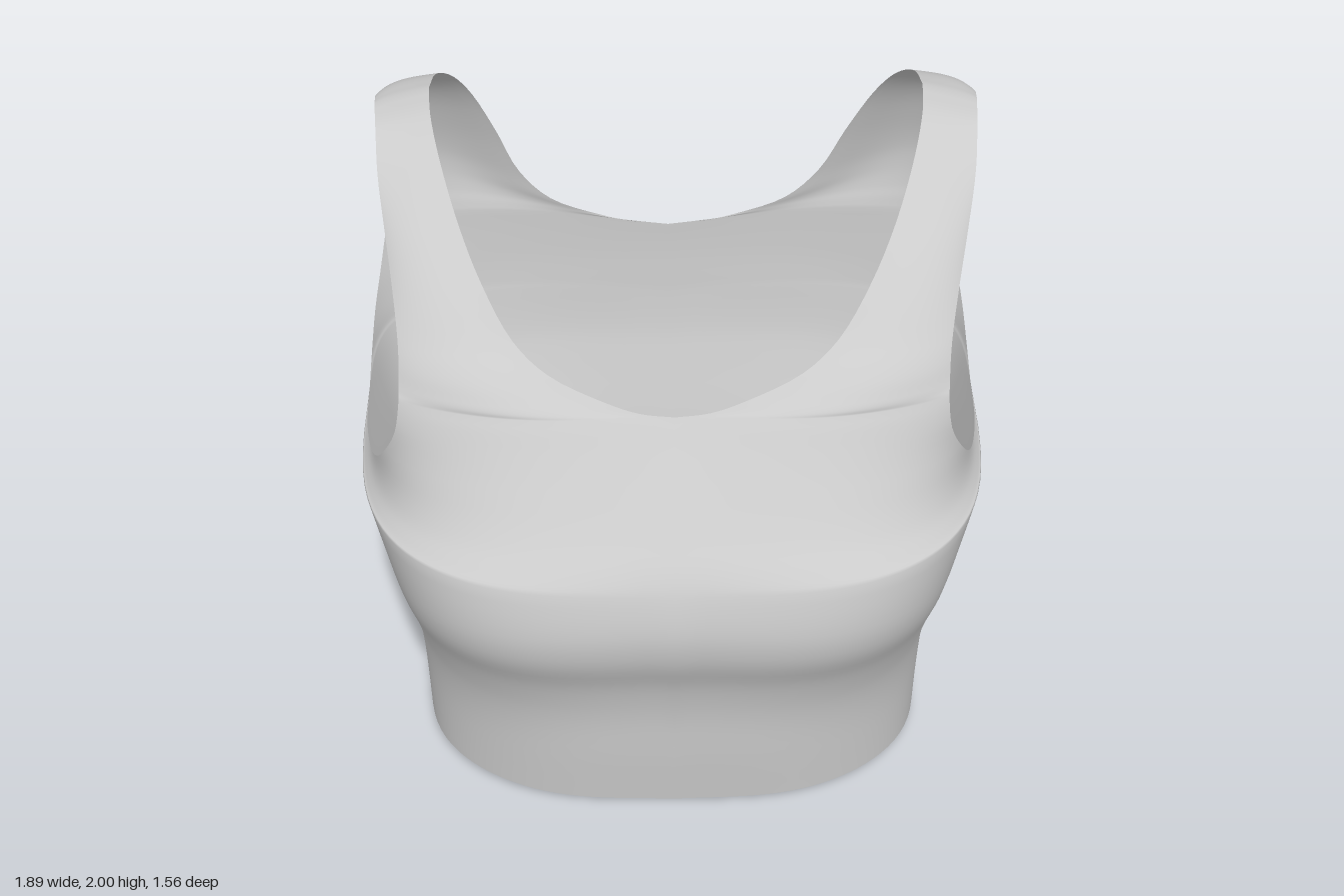
import * as THREE from 'three';
import { mergeVertices } from 'three/addons/utils/BufferGeometryUtils.js';

const COLS = 28, STEPS = 4;
const PIT_Z = -.2;
const { clamp, smoothstep } = THREE.MathUtils;

// Side seam from hem to armpit, shared by front and back
const side = [
  [.78, .04, .1], [.79, .22, .05], [.805, .42, 0], [.83, .56, -.05],
  [.86, .7, -.1], [.89, .82, -.15], [.94, 1.0, PIT_Z],
];

// Each half panel: centre line, then neckline, and the armhole edge on the outside
const front = {
  centre: [
    [0, 0, .62], [0, .2, .642], [0, .4, .66], [0, .55, .695], [0, .7, .755], [0, .82, .77], [0, .95, .745],
    [0, 1.02, .712], [0, 1.1, .655], [0, 1.2, .585], [0, 1.3, .515], [0, 1.38, .46],
  ],
  neckline: [
    [0, 1.38, .46], [.1, 1.39, .455], [.2, 1.418, .437], [.36, 1.48, .39], [.46, 1.55, .325],
    [.55, 1.67, .22], [.62, 1.79, .095], [.68, 1.91, -.07], [.71, 1.98, -.2], [.72, 2, -.32],
  ],
  armhole: [
    [.94, 1.0, PIT_Z], [.93, 1.01, 0], [.895, 1.06, .2], [.85, 1.16, .335], [.8, 1.28, .39], [.785, 1.38, .375],
    [.785, 1.4, .362], [.785, 1.42, .35], [.785, 1.47, .322], [.79, 1.53, .275], [.81, 1.64, .17],
    [.835, 1.75, .055], [.86, 1.86, -.075], [.87, 1.94, -.19], [.88, 1.96, -.3],
  ],
};
const back = {
  centre: [
    [0, .015, -.57], [0, .2, -.6], [0, .4, -.64], [0, .55, -.675], [0, .7, -.715], [0, .82, -.745], [0, .95, -.763],
    [0, 1.02, -.768], [0, 1.1, -.773], [0, 1.17, -.775], [0, 1.22, -.775],
  ],
  neckline: [
    [0, 1.22, -.775], [.1, 1.228, -.777], [.22, 1.255, -.78], [.38, 1.32, -.778], [.48, 1.43, -.767],
    [.55, 1.6, -.73], [.62, 1.77, -.67], [.67, 1.88, -.59], [.71, 1.97, -.45], [.72, 2, -.32],
  ],
  armhole: [
    [.94, 1.0, PIT_Z], [.945, 1.02, -.36], [.94, 1.09, -.5], [.92, 1.2, -.6], [.9, 1.32, -.65],
    [.893, 1.37, -.657], [.89, 1.42, -.66], [.885, 1.5, -.655], [.885, 1.58, -.64], [.885, 1.68, -.61],
    [.89, 1.79, -.54], [.89, 1.87, -.47], [.885, 1.94, -.38], [.88, 1.96, -.3],
  ],
};

// Two smooth curves meeting at a corner, sampled by key number
function chain(first, second) {
  const [a, b] = [first, second].map(l => new THREE.CatmullRomCurve3(l.map(p => new THREE.Vector3(...p))));
  const n = first.length - 1, m = second.length - 1;
  return k => (k <= n ? a.getPoint(k / n) : b.getPoint((k - n) / m));
}

// Row across a panel: part of a rounded-square section, cut off at the armhole
function crossRow(a, b, inYoke) {
  const power = 2.7 + .9 * smoothstep(a.y, .2, .8);
  const q = inYoke ? clamp((b.z - PIT_Z) / (a.z - PIT_Z), 0, .95) : 0;
  const end = Math.acos(q ** (power / 2));
  const sEnd = Math.sin(end) ** (2 / power);
  const fullness = Math.sign(a.z) * .015 * (1 - a.x / .72);
  const row = [];
  for (let c = 0; c <= COLS; c++) {
    const phi = end * (c / COLS) ** 1.4;
    const s = Math.sin(phi) ** (2 / power) / sEnd;
    const f = c === COLS ? 1 : (1 - Math.cos(phi) ** (2 / power)) / (1 - q);
    row.push([
      a.x + (b.x - a.x) * s,
      a.y + (b.y - a.y) * s,
      a.z + (b.z - a.z) * f + fullness * Math.sin(Math.PI * s) ** 2,
    ]);
  }
  return row;
}

// Adds one half panel, mirrored in x when sx is -1
function addPanel(pos, idx, panel, sx, flip) {
  const base = pos.length / 3;
  const inner = chain(panel.centre, panel.neckline);
  const outer = chain(side, panel.armhole);
  const rows = (panel.centre.length + panel.neckline.length - 2) * STEPS;
  for (let r = 0; r <= rows; r++) {
    const k = r / STEPS;
    for (const [x, y, z] of crossRow(inner(k), outer(k), k >= side.length - 1)) {
      // The straps sit slightly to one side
      pos.push(x * sx + .018 * smoothstep(y, 1.2, 1.95), y, z);
    }
  }
  const w = COLS + 1;
  for (let r = 0; r < rows; r++) for (let c = 0; c < COLS; c++) {
    const i = base + r * w + c, j = i + 1, m = i + w, n = m + 1;
    if (flip) idx.push(i, n, j, i, m, n);
    else idx.push(i, j, n, i, n, m);
  }
}

export function createModel() {
  const pos = [], idx = [];
  for (const sx of [1, -1]) {
    addPanel(pos, idx, front, sx, sx < 0);
    addPanel(pos, idx, back, sx, sx > 0);
  }
  let geo = new THREE.BufferGeometry();
  geo.setAttribute('position', new THREE.Float32BufferAttribute(pos, 3));
  geo.setIndex(idx);
  // Weld the seams so the cloth shades smoothly
  geo = mergeVertices(geo, 1e-4);
  geo.computeVertexNormals();

  const top = new THREE.Mesh(geo, new THREE.MeshStandardMaterial({ color: 0xcccccc, side: THREE.DoubleSide }));
  top.name = 'croppedTop';
  const group = new THREE.Group();
  group.name = 'garment';
  group.add(top);
  return group;
}
